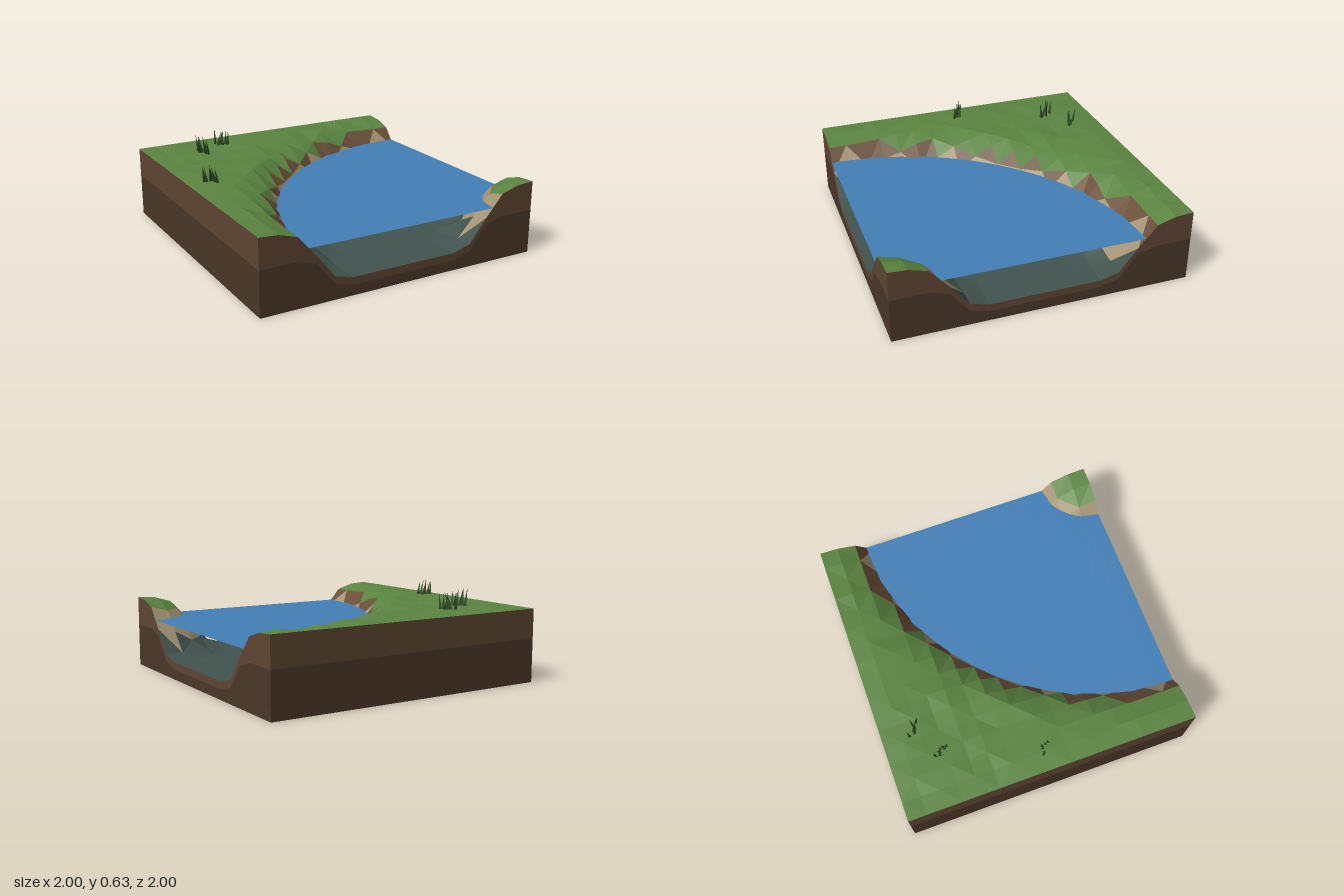
import * as THREE from 'three';

const N = 16, STEP = 2 / N;
const WATER_Y = 0.37;
// Bed height against distance from the middle of the ring-shaped channel
const PROFILE = [[0.375, 0.12], [0.5, 0.155], [0.625, 0.31], [0.75, 0.455], [0.875, 0.492], [1, 0.5]];

function hash(a, b) {
  const s = Math.sin(a * 127.1 + b * 311.7) * 43758.5453;
  return s - Math.floor(s);
}

const cornerDistance = (x, z) => Math.hypot(x - 1, z - 1);

function height(i, j) {
  const x = -1 + i * STEP, z = -1 + j * STEP;
  const r = cornerDistance(x, z);
  const d = Math.abs(r - 1);
  const edge = i === 0 || j === 0 || i === N || j === N;
  let y = PROFILE[0][1];
  for (let k = 0; k < PROFILE.length - 1; k++) {
    const [d0, y0] = PROFILE[k], [d1, y1] = PROFILE[k + 1];
    if (d >= d0) y = y0 + (y1 - y0) * Math.min((d - d0) / (d1 - d0), 1);
  }
  // Gentle bumps on the meadow, none along the cut edges
  if (!edge && r > 1.8) y += (hash(i, j) - 0.3) * 0.022;
  return y;
}

const point = (i, j) => new THREE.Vector3(-1 + i * STEP, height(i, j), -1 + j * STEP);

function facetMesh(name, points, color, side = THREE.FrontSide) {
  const geometry = new THREE.BufferGeometry().setFromPoints(points);
  geometry.computeVertexNormals();
  const mesh = new THREE.Mesh(geometry, new THREE.MeshStandardMaterial({ color, flatShading: true, side }));
  mesh.name = name;
  return mesh;
}

// Ground surface, sorted into layers by the height of each facet
function buildGround() {
  const layers = { grass: [], soilBank: [], sandBank: [], pondBed: [] };
  const add = (...tri) => {
    const y = (tri[0].y + tri[1].y + tri[2].y) / 3;
    const onIsland = cornerDistance(tri[0].x, tri[0].z) < 0.8;
    let layer = 'pondBed';
    if (y > 0.42) layer = 'grass';
    else if (y > 0.375 && !onIsland) layer = 'soilBank';
    else if (y > 0.22) layer = 'sandBank';
    layers[layer].push(...tri);
  };
  for (let i = 0; i < N; i++) {
    for (let j = 0; j < N; j++) {
      const a = point(i, j), b = point(i, j + 1), c = point(i + 1, j + 1), d = point(i + 1, j);
      if ((i + j) % 2 === 0) { add(a, b, d); add(b, c, d); }
      else { add(a, b, c); add(a, c, d); }
    }
  }
  const group = new THREE.Group();
  group.name = 'ground';
  group.add(
    facetMesh('grass', layers.grass, 0x5b8541),
    facetMesh('soilBank', layers.soilBank, 0x6b503a),
    facetMesh('sandBank', layers.sandBank, 0xa59474),
    facetMesh('pondBed', layers.pondBed, 0x42544f),
  );
  return group;
}

// Cut sides in two earth layers, plus the underside
function buildEarth() {
  const upper = [], lower = [];
  const edges = [k => [k, N], k => [N, N - k], k => [N - k, 0], k => [0, k]];
  const lift = (p, y) => new THREE.Vector3(p.x, y, p.z);
  const seam = p => Math.min(0.3, p.y - 0.05);
  for (const edge of edges) {
    for (let k = 0; k < N; k++) {
      const p = point(...edge(k)), q = point(...edge(k + 1));
      const ps = lift(p, seam(p)), qs = lift(q, seam(q));
      const p0 = lift(p, 0), q0 = lift(q, 0);
      upper.push(ps, qs, q, ps, q, p);
      lower.push(p0, q0, qs, p0, qs, ps);
    }
  }
  const [a, b, c, d] = [[-1, -1], [1, -1], [1, 1], [-1, 1]].map(([x, z]) => new THREE.Vector3(x, 0, z));
  const group = new THREE.Group();
  group.name = 'earth';
  group.add(
    facetMesh('upperSoil', upper, 0x5f4633),
    facetMesh('lowerSoil', lower, 0x4b3729),
    facetMesh('underside', [a, b, c, a, c, d], 0x3a2b23),
  );
  return group;
}

// Quarter ring of water around the island, its rims tucked into the banks
function buildWater() {
  const geometry = new THREE.RingGeometry(0.3, 1.7, 24, 1, Math.PI / 2, Math.PI / 2);
  geometry.rotateX(-Math.PI / 2);
  const water = new THREE.Mesh(geometry, new THREE.MeshStandardMaterial({ color: 0x4480b8, side: THREE.DoubleSide }));
  water.name = 'water';
  water.position.set(1, WATER_Y, 1);
  return water;
}

// Tuft of thin leaning blades spread along a line
function buildTuft(x, z, angle, seed) {
  const tuft = new THREE.Group();
  tuft.name = 'grassTuft';
  const material = new THREE.MeshStandardMaterial({ color: 0x2f4d24, flatShading: true });
  const count = 6;
  for (let k = 0; k < count; k++) {
    const t = k / (count - 1) - 0.5;
    const tall = 0.1 + 0.04 * hash(seed, k);
    const geometry = new THREE.ConeGeometry(0.013, tall, 3);
    geometry.translate(0, tall / 2, 0);
    const blade = new THREE.Mesh(geometry, material);
    blade.name = 'blade';
    blade.position.set(t * 0.09, 0, (hash(k, seed + 5) - 0.5) * 0.04);
    blade.rotation.set((hash(seed, k + 9) - 0.5) * 0.4, 0, (hash(k + 3, seed) - 0.5) * 0.5);
    tuft.add(blade);
  }
  tuft.position.set(x, 0.5, z);
  tuft.rotation.y = angle;
  return tuft;
}

export function createModel() {
  const model = new THREE.Group();
  model.name = 'pondTile';
  model.add(buildGround(), buildEarth(), buildWater());
  model.add(
    buildTuft(-0.845, -0.02, -0.65, 1),
    buildTuft(-0.635, -0.66, -0.8, 2),
    buildTuft(-0.44, -0.785, -0.35, 3),
  );
  return model;
}
